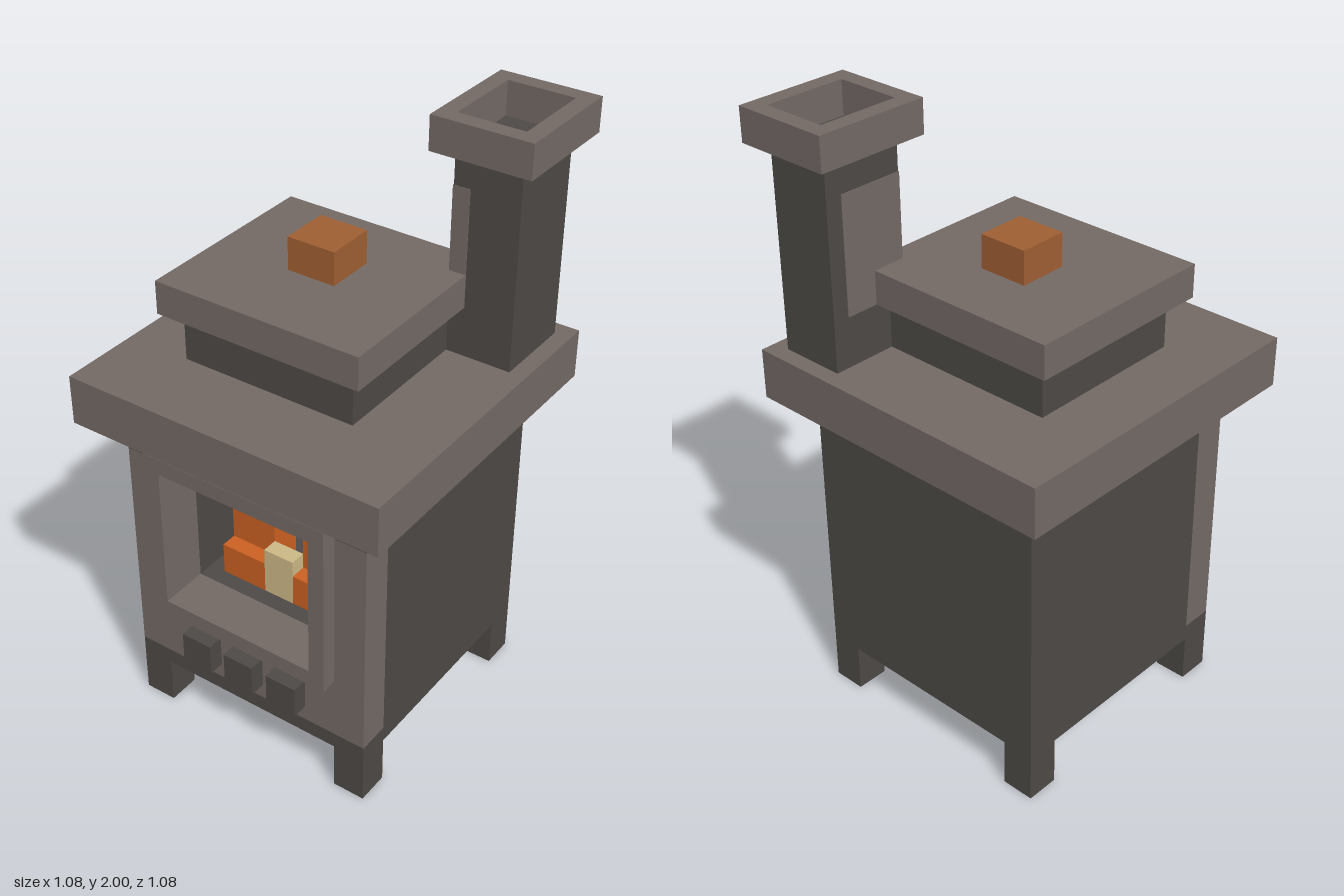
import * as THREE from 'three';

const U = 2 / 37; // one grid cell

const material = (name, color) => {
  const m = new THREE.MeshStandardMaterial({ color });
  m.name = name;
  return m;
};

export function createModel() {
  const iron = material('dark iron', 0x4d4946);
  const stone = material('warm grey', 0x736965);
  const wood = material('wood brown', 0x9f5f33);
  const orange = material('flame orange', 0xcb6022);
  const yellow = material('flame yellow', 0xc9a33a);
  const cream = material('flame cream', 0xcdb886);

  const model = new THREE.Group();
  model.name = 'stove';

  // Box between two corners, given in grid cells
  const box = (name, mat, [x0, y0, z0], [x1, y1, z1], parent = model) => {
    const geo = new THREE.BoxGeometry((x1 - x0) * U, (y1 - y0) * U, (z1 - z0) * U);
    const mesh = new THREE.Mesh(geo, mat);
    mesh.position.set((x0 + x1) / 2 * U, (y0 + y1) / 2 * U, (z0 + z1) / 2 * U);
    mesh.name = name;
    parent.add(mesh);
    return mesh;
  };

  const group = (name) => {
    const g = new THREE.Group();
    g.name = name;
    model.add(g);
    return g;
  };

  // Rectangular ring: outer and inner rectangles [a0, b0, a1, b1], extruded along z
  const ring = (name, mat, o, i, depth) => {
    const rect = (path, [a0, b0, a1, b1]) => path
      .moveTo(a0 * U, b0 * U).lineTo(a1 * U, b0 * U)
      .lineTo(a1 * U, b1 * U).lineTo(a0 * U, b1 * U).closePath();
    const shape = rect(new THREE.Shape(), o);
    shape.holes.push(rect(new THREE.Path(), i));
    const geo = new THREE.ExtrudeGeometry(shape, { depth: depth * U, bevelEnabled: false });
    const mesh = new THREE.Mesh(geo, mat);
    mesh.name = name;
    model.add(mesh);
    return mesh;
  };

  // Legs
  const legs = group('legs');
  for (const x of [-8, 6]) {
    for (const z of [-8, 6]) box('leg', iron, [x, 0, z], [x + 2, 3, z + 2], legs);
  }

  // Hollow firebox body
  const body = group('body');
  box('bottomBand', iron, [-8, 3, -8], [8, 4, 8], body);
  box('hearth', iron, [-8, 4, -8], [8, 9, 6], body);
  box('topBand', iron, [-8, 18, -8], [8, 20, 8], body);
  box('backWall', iron, [-8, 9, -8], [8, 18, -5], body);
  for (const x of [-8, 5]) box('sideWall', iron, [x, 9, -5], [x + 3, 18, 6], body);

  // Front panel around the opening
  const front = group('frontPanel');
  box('lowerPanel', stone, [-8, 4, 6], [8, 9, 8], front);
  for (const x of [-8, 5]) box('sidePanel', stone, [x, 9, 6], [x + 3, 18, 8], front);

  // Raised window frame
  ring('windowFrame', stone, [-6, 8, 6, 19], [-5, 9, 5, 18], 1).position.z = 8 * U;

  // Control knobs
  const knobs = group('knobs');
  for (const x of [-4, -1, 2]) box('knob', iron, [x, 5, 8], [x + 2, 7, 9], knobs);

  // Fire
  const fire = group('fire');
  box('leftFlame', orange, [-4, 9, 2], [-1, 14, 4], fire);
  box('rightFlame', orange, [1, 9, 2], [4, 15, 4], fire);
  for (const x of [-4, 1]) box('lowFlame', orange, [x, 9, 4], [x + 3, 11, 5], fire);
  box('flameCore', cream, [-1, 9, 4], [1, 12, 5], fire);
  box('flameTip', yellow, [-1, 13, 3], [1, 16, 4], fire);

  // Top slab, stepped lid and handle
  box('topSlab', stone, [-10, 20, -10], [10, 23, 10]);
  box('lidBase', iron, [-6, 23, -5], [5, 26, 5]);
  box('lid', stone, [-7, 26, -6], [6, 28, 6]);
  box('lidHandle', wood, [-2, 28, -2], [1, 30, 1]);

  // Chimney with a patch on its inner front corner
  box('chimney', iron, [5, 23, -9], [9, 35, -4]);
  box('chimneyPatch', stone, [4.96, 26, -8], [6, 33, -3.96]);

  // Open chimney cap
  const cap = ring('chimneyCap', stone, [4, 3, 10, 10], [5, 4, 9, 9], 2);
  cap.rotation.x = -Math.PI / 2;
  cap.position.y = 35 * U;

  return model;
}
